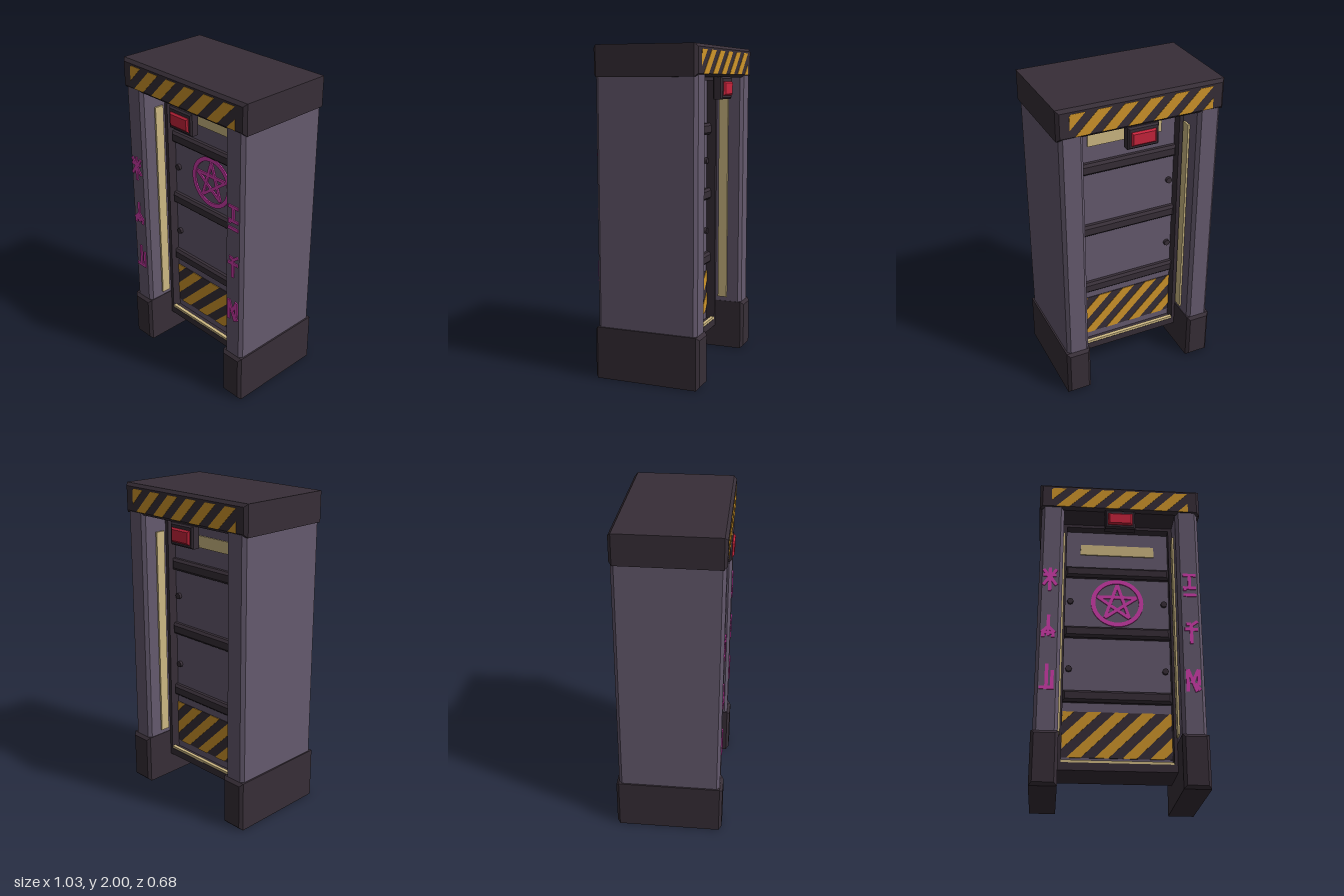
import * as THREE from 'three';

const mat = (name, color) => {
  const m = new THREE.MeshStandardMaterial({ color });
  m.name = name;
  return m;
};

export function createModel() {
  const purple = mat('purple metal', 0x655a6e);
  const dark = mat('dark metal', 0x372e37);
  const yellow = mat('warning yellow', 0xd0962a);
  const tan = mat('pale trim', 0xcfba84);
  const pink = mat('pink paint', 0xd03cac);
  const red = mat('red lamp', 0xc8243c);
  const model = new THREE.Group();
  model.name = 'booth';

  const add = (parent, name, geo, material, x = 0, y = 0, z = 0) => {
    const mesh = new THREE.Mesh(geo, material);
    mesh.name = name;
    mesh.position.set(x, y, z);
    parent.add(mesh);
    return mesh;
  };

  // Box between two corners
  const box = (parent, name, m, x0, x1, y0, y1, z0, z1) =>
    add(parent, name, new THREE.BoxGeometry(x1 - x0, y1 - y0, z1 - z0), m,
      (x0 + x1) / 2, (y0 + y1) / 2, (z0 + z1) / 2);

  // Box between two corners with every edge chamfered by c
  const chamferBox = (parent, name, m, x0, x1, y0, y1, z0, z1, c) => {
    const w = (x1 - x0) / 2 - c, h = (y1 - y0) / 2 - c;
    const shape = new THREE.Shape([[-w, -h], [w, -h], [w, h], [-w, h]].map(p => new THREE.Vector2(...p)));
    const geo = new THREE.ExtrudeGeometry(shape, {
      depth: z1 - z0 - 2 * c, bevelEnabled: true, bevelThickness: c, bevelSize: c, bevelSegments: 1,
    });
    return add(parent, name, geo, m, (x0 + x1) / 2, (y0 + y1) / 2, z0 + c);
  };

  // Cut a polygon at a vertical line, keeping the side where s * (x - limit) >= 0
  const clip = (pts, limit, s) => {
    const out = [];
    pts.forEach((a, i) => {
      const b = pts[(i + 1) % pts.length];
      const da = s * (a.x - limit), db = s * (b.x - limit);
      if (da >= 0) out.push(a);
      if (da * db < 0) out.push(a.clone().lerp(b, da / (da - db)));
    });
    return out;
  };

  // Slanted stripes filling a rectangle
  const hazard = (parent, name, half, y0, y1, z, start, period, width) => {
    const shapes = [];
    const h = y1 - y0;
    for (let x = start - 5 * period; x < half; x += period) {
      let pts = [[x, y0], [x + width, y0], [x + width + h, y1], [x + h, y1]].map(p => new THREE.Vector2(...p));
      pts = clip(clip(pts, -half, 1), half, -1);
      if (pts.length > 2) shapes.push(new THREE.Shape(pts));
    }
    add(parent, name, new THREE.ExtrudeGeometry(shapes, { depth: 0.004, bevelEnabled: false }), yellow, 0, 0, z);
  };

  // Cap, door slab and door frame
  chamferBox(model, 'roofCap', dark, -0.515, 0.515, 1.815, 2, -0.322, 0.322, 0.018);
  box(model, 'door', purple, -0.345, 0.345, 0.17, 1.82, -0.08, 0.08);
  box(model, 'frameHeader', dark, -0.36, 0.36, 1.795, 1.83, -0.14, 0.14);
  box(model, 'sill', dark, -0.36, 0.36, 0.145, 0.192, -0.14, 0.14);

  // Side walls, feet and frame posts
  for (const s of [-1, 1]) {
    const span = (a, b) => (s > 0 ? [a, b] : [-b, -a]);
    const wall = new THREE.Shape();
    const c = 0.02, w = 0.072, d = 0.317;
    [[-w + c, -d], [w - c, -d], [w, -d + c], [w, d - c], [w - c, d], [-w + c, d], [-w, d - c], [-w, -d + c]]
      .forEach(([x, y], i) => (i ? wall.lineTo(x, y) : wall.moveTo(x, y)));
    const geo = new THREE.ExtrudeGeometry(wall, { depth: 1.6, bevelEnabled: false });
    geo.rotateX(-Math.PI / 2);
    add(model, 'sideWall', geo, purple, s * 0.428, 0.23, 0);
    chamferBox(model, 'foot', dark, ...span(0.352, 0.51), 0, 0.32, -0.335, 0.335, 0.018);
    box(model, 'framePost', dark, ...span(0.332, 0.37), 0.15, 1.82, -0.14, 0.14);
  }

  // Details repeated on front and back
  for (const turn of [0, Math.PI]) {
    const face = new THREE.Group();
    face.name = turn ? 'backFace' : 'frontFace';
    face.rotation.y = turn;
    model.add(face);

    hazard(face, 'capStripes', 0.44, 1.832, 1.97, 0.32, -0.41, 0.157, 0.083);
    box(face, 'doorWarningPlate', dark, -0.33, 0.33, 0.238, 0.525, 0.075, 0.084);
    hazard(face, 'doorStripes', 0.33, 0.238, 0.525, 0.083, -0.3, 0.165, 0.083);
    box(face, 'doorTopPlate', tan, -0.24, 0.24, 1.622, 1.697, 0.075, 0.087);
    box(face, 'sillTrim', tan, -0.335, 0.335, 0.19, 0.208, 0.115, 0.138);
    for (const y of [0.62, 1.052, 1.482])
      chamferBox(face, 'doorBar', dark, -0.335, 0.335, y - 0.037, y + 0.037, 0.05, 0.115, 0.015);

    for (const s of [-1, 1]) {
      box(face, 'wallStrip', tan, s * 0.352 - 0.008, s * 0.352 + 0.008, 0.35, 1.7, 0.16, 0.22);
      for (const y of [0.803, 1.272]) {
        const rivet = add(face, 'rivet', new THREE.CylinderGeometry(0.02, 0.02, 0.025, 8), dark, s * 0.3, y, 0.085);
        rivet.rotation.x = Math.PI / 2;
      }
    }

    // Warning lamp under the cap
    chamferBox(face, 'lampHousing', dark, -0.097, 0.097, 1.683, 1.818, 0.265, 0.328, 0.01);
    chamferBox(face, 'lamp', red, -0.077, 0.077, 1.705, 1.79, 0.3, 0.341, 0.01);
  }

  // Painted strokes: each is a thin plate between two points
  const stroke = (parent, x0, y0, x1, y1, width) => {
    const len = Math.hypot(x1 - x0, y1 - y0);
    const mesh = add(parent, 'stroke', new THREE.BoxGeometry(len, width, 0.008), pink, (x0 + x1) / 2, (y0 + y1) / 2, 0);
    mesh.rotation.z = Math.atan2(y1 - y0, x1 - x0);
  };

  // Star in a ring on the front of the door
  const emblem = new THREE.Group();
  emblem.name = 'starMarking';
  emblem.position.set(0, 1.272, 0.084);
  model.add(emblem);
  const ring = new THREE.Shape().absarc(0, 0, 0.168, 0, Math.PI * 2);
  ring.holes.push(new THREE.Path().absarc(0, 0, 0.14, 0, Math.PI * 2, true));
  add(emblem, 'ring', new THREE.ExtrudeGeometry(ring, { depth: 0.008, bevelEnabled: false, curveSegments: 32 }), pink, 0, 0, -0.004);
  for (let i = 0; i < 5; i++) {
    const a = Math.PI / 2 + i * Math.PI * 0.4, b = a + Math.PI * 0.8, r = 0.132;
    stroke(emblem, r * Math.cos(a), r * Math.sin(a), r * Math.cos(b), r * Math.sin(b), 0.021);
  }

  // Abstract marks on the front of the walls, strokes in hundredths
  const marks = [
    [-0.432, 1.295, [[0, -8, 0, 8], [-4, 7, 0, 1], [4, 7, 0, 1], [-4, 3, 4, 3], [0, 2, -4, -4], [0, 2, 4, -4]]],
    [-0.432, 0.972, [[0, 8, 0, -6], [0, 0, -4, -4], [0, 0, 4, -4], [-3, -3, -3, -7], [3, -3, 3, -7], [-3, -4, 3, -4]]],
    [-0.432, 0.65, [[0, 8, 0, -7], [3.3, 4, 3.3, -7], [-4.3, -7, 4.3, -7]]],
    [0.43, 1.292, [[-4, 7, 4, 7], [0, 7, 0, -2], [-4, -2, 4, -2], [-4, -7, 4, -7], [-3, -2, -3, -4]]],
    [0.43, 0.972, [[0, -8, 0, 5], [-4, 1.5, 4, 1.5], [0, 4, 4, 7], [-3, 5, 0, 5]]],
    [0.43, 0.652, [[-3.3, -7, -3.3, 7], [-3, 7, 2, -7], [3.3, 7, -1, -2], [3.3, 7, 3.3, -3], [1, -2, 4, -6]]],
  ];
  for (const [x, y, strokes] of marks) {
    const mark = new THREE.Group();
    mark.name = 'wallMarking';
    mark.position.set(x, y, 0.319);
    model.add(mark);
    for (const p of strokes) stroke(mark, ...p.map(v => v / 100), 0.02);
  }

  return model;
}
